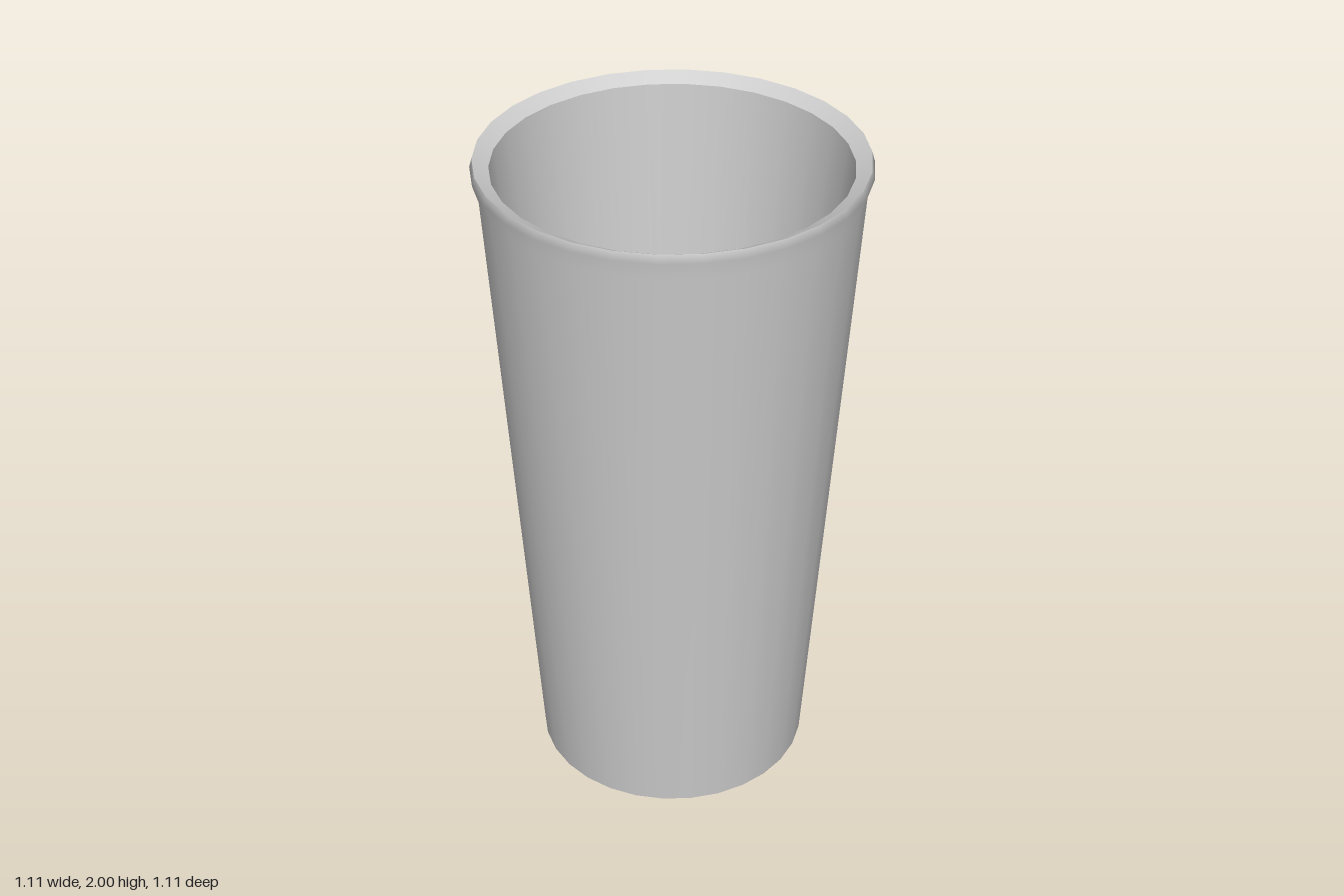
import * as THREE from 'three';

const SIDES = 30;
const material = new THREE.MeshStandardMaterial({ color: 0xcccccc });

// Each section is smooth in itself; the seams between sections stay sharp.
// Points run from the underside, up the outside and down the inside.
const sections = {
  underside: [[0, 0.03], [0.38, 0.03]],
  footInnerWall: [[0.38, 0.03], [0.395, 0]],
  footRing: [[0.395, 0], [0.41, 0]],
  outerWall: [[0.41, 0], [0.54, 1.92], [0.557, 1.975], [0.55, 2]],
  rimBevel: [[0.55, 2], [0.505, 1.975]],
  innerWall: [[0.505, 1.975], [0.315, 0.08]],
  innerFloor: [[0.315, 0.08], [0, 0.08]],
};

function turned(name, profile) {
  const points = profile.map(([r, y]) => new THREE.Vector2(r, y));
  const mesh = new THREE.Mesh(new THREE.LatheGeometry(points, SIDES, Math.PI / 2), material);
  mesh.name = name;
  return mesh;
}

export function createModel() {
  const cup = new THREE.Group();
  cup.name = 'cup';
  for (const [name, profile] of Object.entries(sections)) cup.add(turned(name, profile));
  return cup;
}
